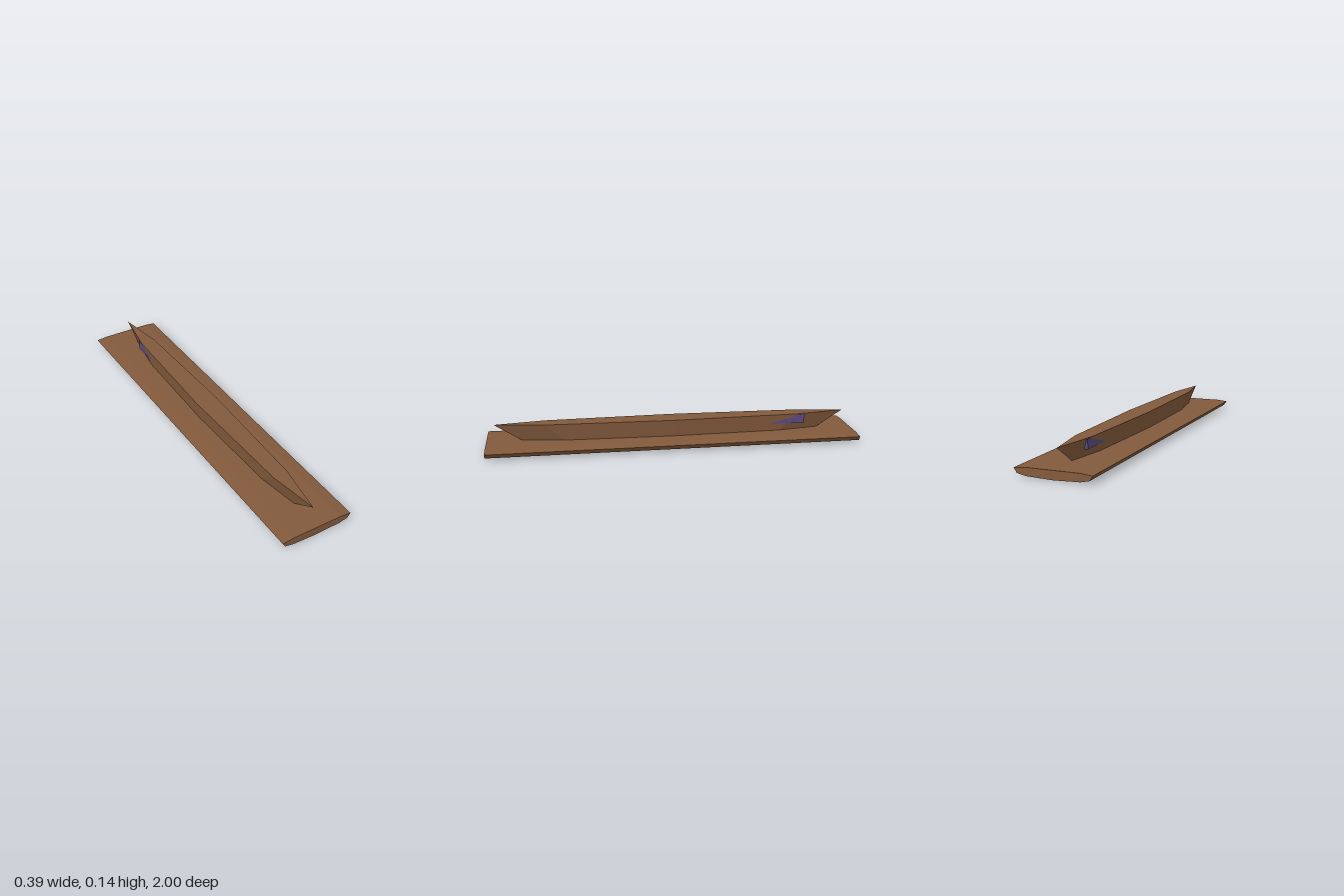
import * as THREE from 'three';

const wood = new THREE.MeshStandardMaterial({ name: 'brown wood', color: 0x835a3c, flatShading: true });
const purple = new THREE.MeshStandardMaterial({ name: 'purple', color: 0x5b4a7e, flatShading: true });

// Closed prism: one plan outline, scaled to a lower and an upper ring
function taperedHull(outline, y0, scale0, y1) {
  const pos = [];
  const at = (i, s, y) => {
    const [x, z] = outline[i % outline.length];
    return [x * s, y, z * s];
  };
  const n = outline.length;
  for (let i = 0; i < n; i++) {
    const a = at(i, scale0, y0), b = at(i + 1, scale0, y0);
    const c = at(i + 1, 1, y1), d = at(i, 1, y1);
    pos.push(...a, ...b, ...c, ...a, ...c, ...d);
    pos.push(0, y1, 0, ...d, ...c);
    pos.push(0, y0, 0, ...b, ...a);
  }
  const g = new THREE.BufferGeometry();
  g.setAttribute('position', new THREE.Float32BufferAttribute(pos, 3));
  g.computeVertexNormals();
  return g;
}

export function createModel() {
  const model = new THREE.Group();
  const add = (name, geometry, material) => {
    const mesh = new THREE.Mesh(geometry, material);
    mesh.name = name;
    model.add(mesh);
    return mesh;
  };

  // Long plank with a shallow, bevelled cross-section
  const half = [[0.18, 0.015], [0.196, 0.039], [0.135, 0.045]];
  const lower = [[0, 0], [0.135, 0.005]];
  const right = [...lower, ...half];
  const left = right.slice(1).reverse().map(([x, y]) => [-x, y]);
  const section = new THREE.Shape([...right, ...left].map(([x, y]) => new THREE.Vector2(x, y)));
  const plank = new THREE.ExtrudeGeometry(section, { depth: 2, bevelEnabled: false });
  plank.translate(0, 0, -1);
  add('plank', plank, wood);

  // Slender pointed hull, flaring outward toward its flat top
  const outline = [
    [0, 0.957], [0.042, 0.69], [0.06, 0], [0.042, -0.69],
    [0, -0.957], [-0.042, -0.69], [-0.06, 0], [-0.042, 0.69],
  ];
  add('hull', taperedHull(outline, 0.044, 0.85, 0.136), wood);

  // Block set across the rear of the hull, emerging from both sides
  const block = add('rearBlock', new THREE.BoxGeometry(0.082, 0.049, 0.23), purple);
  block.position.set(0, 0.1075, -0.615);

  return model;
}
